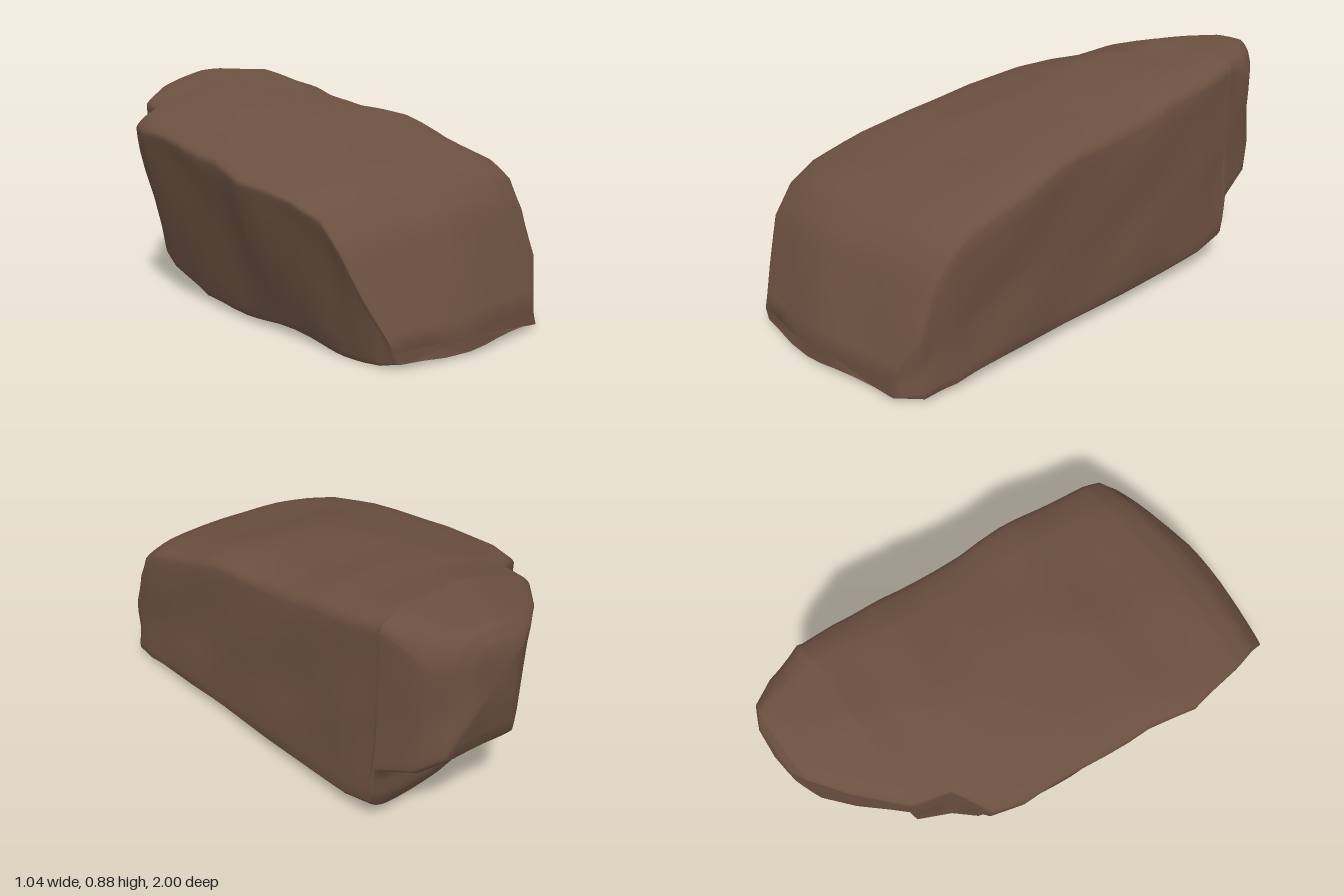
import * as THREE from 'three';

const { smoothstep } = THREE.MathUtils;

// Cross-sections from front to back:
// z, left x, left x at the base, right x, bottom y, left shoulder y, top y
const SECTIONS = [
  [1.00, -0.33, -0.31, 0.42, 0.01, 0.05, 0.08],
  [0.94, -0.38, -0.34, 0.50, 0.00, 0.20, 0.27],
  [0.87, -0.43, -0.35, 0.51, 0.00, 0.37, 0.45],
  [0.78, -0.45, -0.355, 0.52, 0.00, 0.47, 0.55],
  [0.65, -0.48, -0.36, 0.52, 0.01, 0.52, 0.61],
  [0.40, -0.525, -0.36, 0.52, 0.02, 0.55, 0.67],
  [0.20, -0.485, -0.35, 0.51, 0.02, 0.60, 0.74],
  [-0.10, -0.475, -0.34, 0.505, 0.02, 0.64, 0.80],
  [-0.36, -0.46, -0.32, 0.50, 0.03, 0.66, 0.835],
  [-0.48, -0.42, -0.29, 0.50, 0.04, 0.67, 0.85],
  [-0.56, -0.28, -0.22, 0.50, 0.05, 0.73, 0.86],
  [-0.69, -0.25, -0.17, 0.49, 0.08, 0.74, 0.885],
  [-0.71, -0.24, -0.16, 0.49, 0.25, 0.74, 0.885],
  [-0.86, -0.09, -0.02, 0.455, 0.32, 0.78, 0.885],
  [-0.95, 0.03, 0.08, 0.39, 0.40, 0.80, 0.88],
  [-0.99, 0.11, 0.13, 0.31, 0.58, 0.77, 0.82],
];
const RING = 56;
const STEPS = 3;

// Lopsided boulder outline: leaning left side, sloped left shoulder, flat right side
function outline([z, xL, xB, xR, yB, yS, yT]) {
  const w = xR - xL, h = yT - yB, rise = yT - yS;
  const lift = 0.09 * smoothstep(-z, 0.1, 0.5) * smoothstep(z, -0.95, -0.7);
  const chamfer = h * (0.09 + 0.12 * smoothstep(-z, 0.7, 0.9));
  const points = [
    [xB + 0.04 * w, yB + lift],
    [xB, yB + lift + 0.05 * h],
    [xL + 0.15 * (xB - xL), yB + 0.84 * (yS - yB)],
    [xL, yS],
    [xL + 0.05 * w, yS + 0.25 * rise],
    [xL + 0.17 * w, yS + 0.52 * rise],
    [xL + 0.46 * w, yT - 0.01],
    [xL + 0.82 * w, yT],
    [xR - 0.07 * w, yT - 0.35 * chamfer],
    [xR - 0.02 * w, yT - chamfer],
    [xR - 0.018 * w, yB + 0.45 * h],
    [xR, yB + 0.07 * h],
    [xR - 0.1 * w, yB + 0.01],
    [xL + 0.55 * w, yB + 0.01],
  ].map(([x, y]) => new THREE.Vector3(x, y, z));
  return new THREE.CatmullRomCurve3(points, true, 'catmullrom', 0.25);
}

// Skewed front, a shallow slab step on top and gentle lumps
function weather(p) {
  const { x, y, z } = p;
  const front = smoothstep(z, 0.5, 0.95);
  p.z -= front * (0.22 * Math.max(0, x - 0.05) + 0.08 * Math.max(0, -x - 0.1));
  const slab = smoothstep(x, 0.1, 0.2) * smoothstep(z, -0.36, -0.24) * smoothstep(-z, -0.15, 0.05);
  p.y -= 0.02 * slab * smoothstep(y, 0.55, 0.72);
  const lump = 0.005 * Math.sin(9 * x + 5 * z) * Math.cos(8 * y - 6 * z)
    + 0.004 * Math.sin(17 * y + 13 * x + 11 * z);
  p.x += lump;
  p.y = Math.max(0, p.y + lump);
  return p;
}

function boulderGeometry() {
  const curves = SECTIONS.map(outline);
  const positions = [], index = [];
  let rows = 0;
  for (let s = 0; s < curves.length; s++) {
    const last = s === curves.length - 1;
    for (let k = 0; k < (last ? 1 : STEPS); k++, rows++) {
      for (let i = 0; i < RING; i++) {
        const p = curves[s].getPoint(i / RING);
        if (!last) p.lerp(curves[s + 1].getPoint(i / RING), k / STEPS);
        positions.push(...weather(p).toArray());
      }
    }
  }
  for (let r = 0; r < rows - 1; r++) {
    for (let i = 0; i < RING; i++) {
      const j = (i + 1) % RING, a = r * RING, b = a + RING;
      index.push(a + i, a + j, b + i, a + j, b + j, b + i);
    }
  }
  // Close both ends with a fan around the middle of the end ring
  for (const [row, bulge] of [[0, 0.004], [rows - 1, -0.01]]) {
    const start = row * RING, centre = positions.length / 3;
    const mid = new THREE.Vector3();
    for (let i = 0; i < RING; i++) {
      mid.add(new THREE.Vector3().fromArray(positions, (start + i) * 3));
    }
    mid.divideScalar(RING);
    positions.push(mid.x, mid.y, mid.z + bulge);
    for (let i = 0; i < RING; i++) {
      const a = start + i, b = start + (i + 1) % RING;
      if (row === 0) index.push(centre, b, a);
      else index.push(centre, a, b);
    }
  }
  const geometry = new THREE.BufferGeometry();
  geometry.setAttribute('position', new THREE.Float32BufferAttribute(positions, 3));
  geometry.setIndex(index);
  geometry.computeVertexNormals();
  return geometry;
}

export function createModel() {
  const group = new THREE.Group();
  group.name = 'rock';
  const stone = new THREE.MeshStandardMaterial({ color: 0x6b5040 });
  stone.name = 'brown stone';
  const boulder = new THREE.Mesh(boulderGeometry(), stone);
  boulder.name = 'boulder';
  group.add(boulder);
  return group;
}
